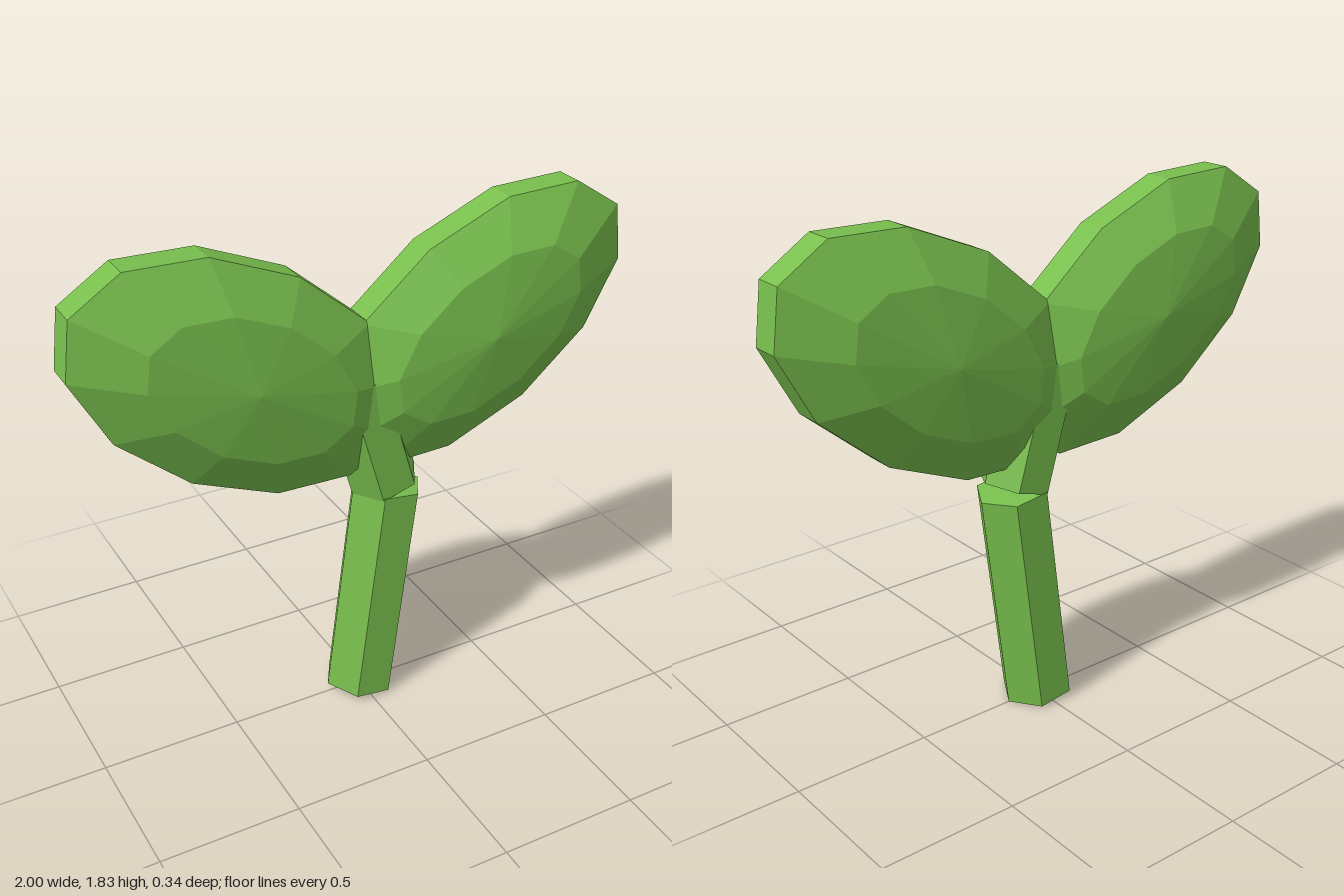
import * as THREE from 'three';

export function createModel() {
  const model = new THREE.Group();
  const green = new THREE.MeshStandardMaterial({ color: 0x78be4d, flatShading: true });
  green.name = 'leafGreen';

  const add = (name, geometry) => {
    const mesh = new THREE.Mesh(geometry, green);
    mesh.name = name;
    model.add(mesh);
    return mesh;
  };

  // Hexagonal stem piece from a lower to an upper point, corners facing +x and -x
  const stemPiece = (name, radius, from, to) => {
    const a = new THREE.Vector3(...from);
    const axis = new THREE.Vector3(...to).sub(a);
    const geometry = new THREE.CylinderGeometry(radius, radius, axis.length(), 6);
    geometry.rotateY(Math.PI / 6);
    const mesh = add(name, geometry);
    mesh.position.copy(a).addScaledVector(axis, 0.5);
    mesh.rotation.z = Math.atan2(-axis.x, axis.y);
  };
  stemPiece('lowerStem', 0.13, [0, 0.02, 0], [0.108, 0.842, 0]);
  stemPiece('upperStem', 0.126, [0.1, 0.858, 0], [-0.024, 1.29, 0]);

  // Flattened, slanted low-poly leaves with their poles facing front and back
  for (const side of [1, -1]) {
    const geometry = new THREE.SphereGeometry(1, 12, 5);
    const length = new THREE.Vector3(side * 0.599, 0.139, 0);
    const thickness = new THREE.Vector3(0, 0, 0.171);
    const width = new THREE.Vector3(-0.105, -side * 0.459, 0);
    geometry.applyMatrix4(new THREE.Matrix4().makeBasis(length, thickness, width));
    const leaf = add(side > 0 ? 'leftLeaf' : 'rightLeaf', geometry);
    leaf.position.set(side * 0.43, 1.39, 0);
  }

  return model;
}
